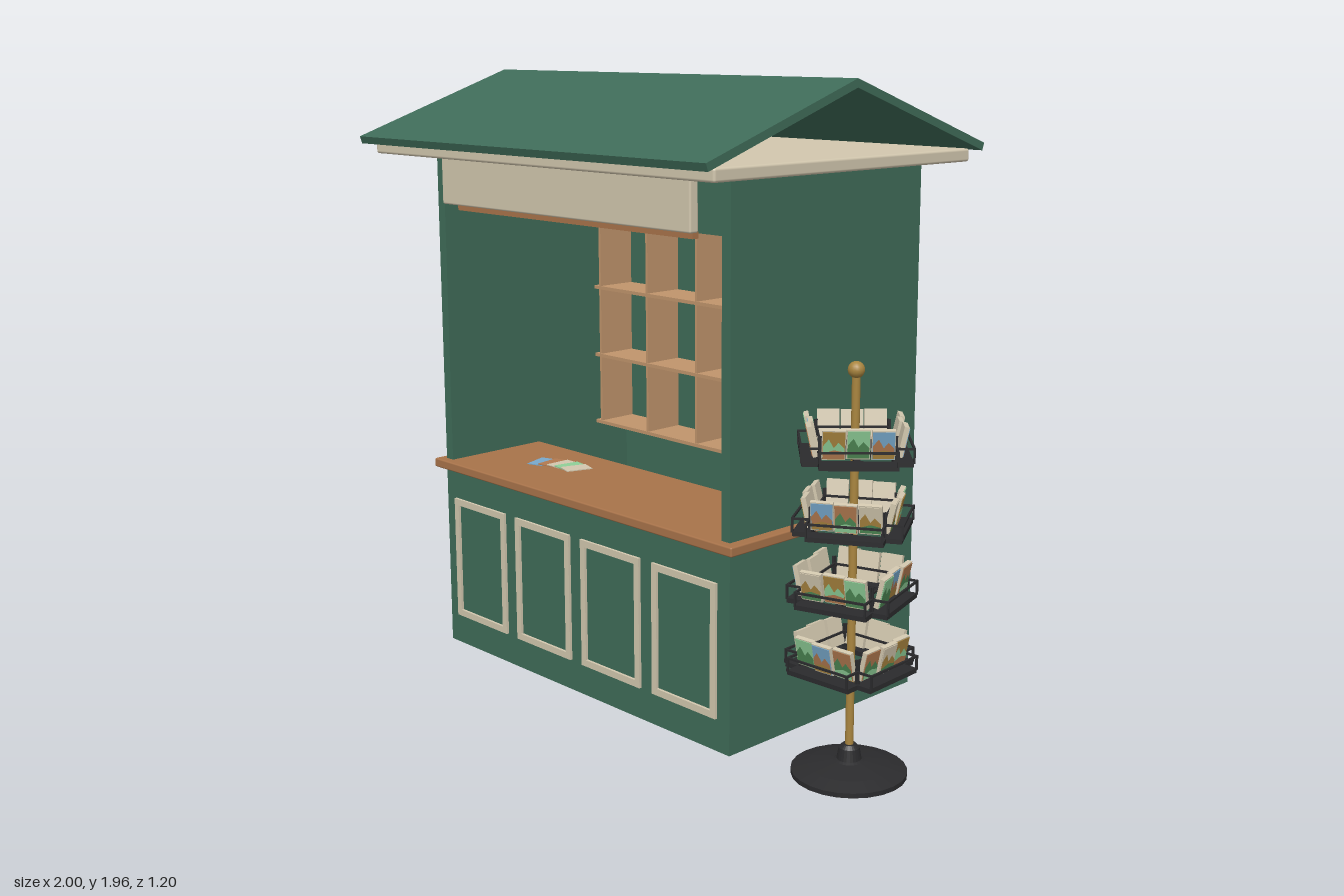
import * as THREE from 'three';
import { RoundedBoxGeometry } from 'three/addons/geometries/RoundedBoxGeometry.js';

const mat = (name, color, side = THREE.FrontSide) => {
  const m = new THREE.MeshStandardMaterial({ color, side });
  m.name = name;
  return m;
};

export function createModel() {
  const M = {
    green: mat('boothGreen', 0x3f6b58),
    cream: mat('cream', 0xd2c7ae),
    wood: mat('counterWood', 0xa8734a),
    pale: mat('shelfWood', 0xc0946c),
    black: mat('blackMetal', 0x2b2b2d),
    brass: mat('brass', 0xa9853f),
    blue: mat('skyBlue', 0x78a9cc, THREE.DoubleSide),
    mint: mat('mint', 0x8fcf98, THREE.DoubleSide),
    leaf: mat('leafGreen', 0x4f8a55, THREE.DoubleSide),
    rust: mat('rust', 0xb27a50, THREE.DoubleSide),
  };
  const model = new THREE.Group();
  model.name = 'souvenirKiosk';

  const add = (parent, name, geo, material, x = 0, y = 0, z = 0) => {
    const mesh = new THREE.Mesh(geo, material);
    mesh.name = name;
    mesh.position.set(x, y, z);
    parent.add(mesh);
    return mesh;
  };
  // Box given by its limits on each axis
  const span = (parent, name, material, x0, x1, y0, y1, z0, z1, r = 0) => {
    const s = [x1 - x0, y1 - y0, z1 - z0];
    const geo = r ? new RoundedBoxGeometry(...s, 2, r) : new THREE.BoxGeometry(...s);
    return add(parent, name, geo, material, (x0 + x1) / 2, (y0 + y1) / 2, (z0 + z1) / 2);
  };
  const group = (parent, name) => {
    const g = new THREE.Group();
    g.name = name;
    parent.add(g);
    return g;
  };

  // Walls, open at the bottom and above the counter
  const booth = group(model, 'booth');
  span(booth, 'backWall', M.green, -0.88, 0.495, 0, 1.7, -0.45, -0.415);
  span(booth, 'leftSideWall', M.green, 0.46, 0.495, 0, 1.7, -0.415, 0.38);
  span(booth, 'rightSideWall', M.green, -0.88, -0.845, 0, 1.7, -0.415, 0.38);
  span(booth, 'frontWall', M.green, -0.845, 0.46, 0, 0.625, 0.345, 0.38);
  span(booth, 'header', M.green, -0.845, 0.46, 1.535, 1.7, 0.355, 0.379);
  span(booth, 'counter', M.wood, -0.91, 0.53, 0.625, 0.655, 0, 0.41, 0.005);

  // Framed panels on the front wall
  for (let i = 0; i < 4; i++) {
    const cx = -0.693 + i * 0.333, w = 0.138, h = 0.21, b = 0.022;
    const s = new THREE.Shape([[-w, -h], [w, -h], [w, h], [-w, h]].map(p => new THREE.Vector2(...p)));
    const a = w - b, c = h - b;
    s.holes.push(new THREE.Path([[-a, -c], [-a, c], [a, c], [a, -c]].map(p => new THREE.Vector2(...p))));
    add(booth, 'panelFrame', new THREE.ExtrudeGeometry(s, { depth: 0.009, bevelEnabled: false }),
      M.cream, cx, 0.313, 0.38);
  }

  // Pigeonhole shelving on the back wall
  const shelves = group(booth, 'shelving');
  for (let i = 0; i < 4; i++) {
    const y = 0.688 + i * 0.249;
    span(shelves, 'shelf', M.pale, -0.843, 0.458, y - 0.006, y + 0.006, -0.415, -0.265);
  }
  for (let i = 0; i < 6; i++) {
    const x = -0.816 + i * 0.25;
    span(shelves, 'divider', M.pale, x - 0.005, x + 0.005, 0.688, 1.435, -0.415, -0.268);
  }

  // Sign board and its lower strip
  span(booth, 'signBoard', M.cream, -0.78, 0.39, 1.54, 1.7, 0.402, 0.435, 0.006);
  span(booth, 'signStrip', M.wood, -0.74, 0.365, 1.52, 1.54, 0.379, 0.402);

  // Eaves slab and open gabled roof
  const roof = group(model, 'roof');
  span(roof, 'eavesSlab', M.cream, -0.98, 0.602, 1.7, 1.74, -0.55, 0.55, 0.008);
  const chevron = new THREE.Shape([[0.59, 1.733], [0.598, 1.756], [0, 1.962], [-0.598, 1.756],
    [-0.59, 1.733], [0, 1.936]].map(p => new THREE.Vector2(...p)));
  const roofGeo = new THREE.ExtrudeGeometry(chevron, { depth: 1.62, bevelEnabled: false });
  add(roof, 'gableRoof', roofGeo.rotateY(Math.PI / 2), M.green, -1, 0, 0);

  // Leaflets fanned on the counter
  const fan = group(model, 'leafletFan');
  [M.blue, M.rust, M.cream, M.mint, M.cream].forEach((m, i) => {
    const t = i - 2;
    const card = add(fan, 'leaflet', new THREE.BoxGeometry(0.06, 0.003, 0.09), m,
      -0.51 + t * 0.045, 0.658 + i * 0.003, 0.17 + t * t * 0.004);
    card.rotation.y = -t * 0.16;
  });

  // Revolving card stand
  const stand = group(model, 'cardStand');
  stand.position.set(0.812, 0, 0.21);
  const foot = [[0, 0], [0.168, 0], [0.168, 0.014], [0.12, 0.028], [0.045, 0.042], [0.036, 0.046],
    [0.03, 0.08], [0.02, 0.09], [0, 0.09]].map(p => new THREE.Vector2(...p));
  add(stand, 'standBase', new THREE.LatheGeometry(foot, 24).toNonIndexed(), M.black).geometry.computeVertexNormals();
  add(stand, 'pole', new THREE.CylinderGeometry(0.012, 0.012, 1.1, 16), M.brass, 0, 0.62, 0);
  add(stand, 'finial', new THREE.SphereGeometry(0.024, 16, 12), M.brass, 0, 1.185, 0);

  const flat = pts => new THREE.ShapeGeometry(new THREE.Shape(pts.map(p => new THREE.Vector2(...p))));
  const hill = flat([[-0.029, -0.038], [0.029, -0.038], [0.029, -0.008], [0.012, 0.01], [0, -0.006],
    [-0.014, 0.02], [-0.029, 0]]);
  const ground = flat([[-0.029, -0.038], [0.029, -0.038], [0.029, -0.018], [0, -0.012], [-0.029, -0.022]]);
  const skies = [M.mint, M.blue, M.rust, M.cream, M.brass];
  const hills = [M.leaf, M.rust, M.leaf, M.brass, M.mint];

  const addCard = (pocket, x, k) => {
    const card = group(pocket, 'card');
    card.position.set(x, 0.065, 0.123 + (k % 2) * 0.008);
    card.rotation.x = 0.22;
    add(card, 'cardStack', new THREE.BoxGeometry(0.064, 0.086, 0.014), M.cream, 0, 0, -0.008);
    add(card, 'cardSky', new THREE.BoxGeometry(0.06, 0.08, 0.002), skies[k % 5]);
    add(card, 'cardHill', hill, hills[k % 5], 0, 0, 0.002);
    add(card, 'cardGround', ground, hills[(k + 2) % 5], 0, 0, 0.003);
  };

  for (let t = 0; t < 4; t++) {
    const tier = group(stand, 'cardTier');
    tier.position.y = 0.315 + t * 0.2075;
    tier.rotation.y = 0.05 + t * 0.245;
    add(tier, 'hub', new THREE.CylinderGeometry(0.022, 0.022, 0.022, 16), M.black, 0, 0.01, 0);
    for (let s = 0; s < 4; s++) {
      const pocket = group(tier, 'pocket');
      pocket.rotation.y = s * Math.PI / 2;
      span(pocket, 'arm', M.black, -0.009, 0.009, 0.002, 0.014, 0.01, 0.11);
      span(pocket, 'tray', M.black, -0.108, 0.108, 0, 0.014, 0.098, 0.152);
      span(pocket, 'frontRail', M.black, -0.108, 0.108, 0.047, 0.053, 0.15, 0.156);
      span(pocket, 'backRail', M.black, -0.105, 0.105, 0.06, 0.066, 0.098, 0.103);
      for (const e of [-1, 1]) {
        const x = e * 0.105;
        span(pocket, 'railPost', M.black, x - 0.003, x + 0.003, 0.01, 0.053, 0.15, 0.156);
        span(pocket, 'backPost', M.black, x - 0.003, x + 0.003, 0.01, 0.085, 0.098, 0.103);
        span(pocket, 'endRail', M.black, x - 0.003, x + 0.003, 0.047, 0.053, 0.1, 0.153);
      }
      for (let c = 0; c < 3; c++) addCard(pocket, (c - 1) * 0.067, t * 3 + s * 2 + c);
    }
  }
  return model;
}
